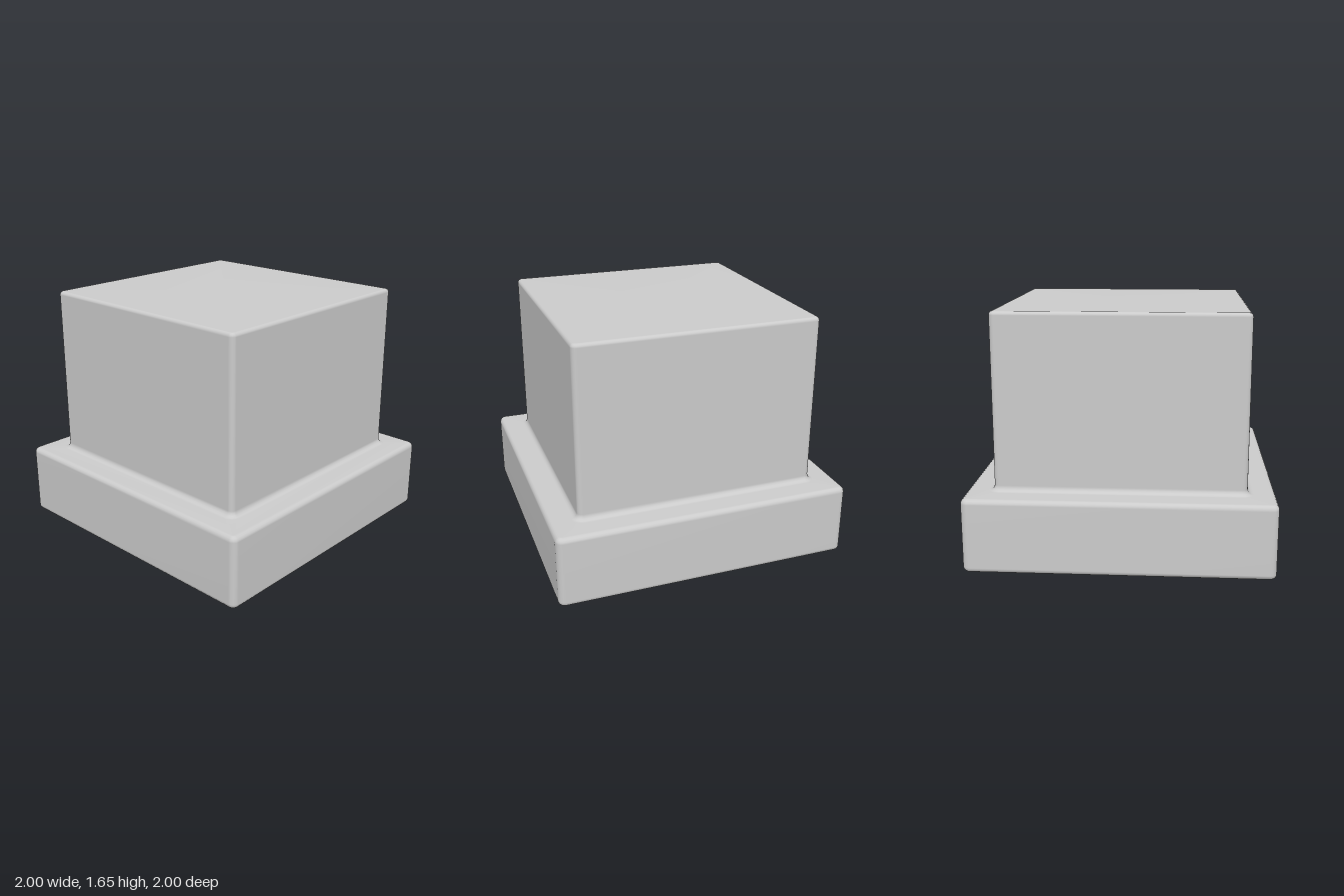
import * as THREE from 'three';

const CORNER_STEPS = 4;

// Horizontal rounded-square ring with half-width h and corner radius r
function ring(h, r, y) {
  const pts = [];
  for (let c = 0; c < 4; c++) {
    const mid = Math.PI / 4 + c * Math.PI / 2;
    const cx = Math.sign(Math.cos(mid)) * (h - r);
    const cz = Math.sign(Math.sin(mid)) * (h - r);
    for (let i = 0; i <= CORNER_STEPS; i++) {
      const a = c * Math.PI / 2 + (i / CORNER_STEPS) * Math.PI / 2;
      pts.push(cx + r * Math.cos(a), y, cz + r * Math.sin(a));
    }
  }
  return pts;
}

// Quarter-round run of profile points [half-width, corner radius, y]
function arc(cx, cy, r, from, to, cornerRadius) {
  return Array.from({ length: 5 }, (_, i) => {
    const a = THREE.MathUtils.degToRad(from + (to - from) * i / 4);
    const h = cx + r * Math.cos(a);
    return [h, cornerRadius(h), cy + r * Math.sin(a)];
  });
}

// Skin the rings from bottom to top
function loft(profile) {
  const n = 4 * (CORNER_STEPS + 1);
  const index = [];
  for (let j = 0; j < profile.length - 1; j++) {
    for (let i = 0; i < n; i++) {
      const a = j * n + i, b = j * n + (i + 1) % n;
      index.push(a, a + n, b, b, a + n, b + n);
    }
  }
  const geo = new THREE.BufferGeometry();
  const pos = profile.flatMap(p => ring(...p));
  geo.setAttribute('position', new THREE.Float32BufferAttribute(pos, 3));
  geo.setIndex(index);
  geo.computeVertexNormals();
  return geo;
}

export function createModel() {
  const group = new THREE.Group();
  group.name = 'steppedBlock';

  const baseCorner = h => h - 0.96 + 0.005;
  const blockCorner = h => h - 0.785 + 0.005;

  const profile = [
    [0, 0, 0],
    ...arc(0.965, 0.03, 0.035, -90, 0, baseCorner).map(([h, r, y]) => [h, r, Math.max(0, y + 0.005)]),
    // Rounded upper rim of the plinth
    ...arc(0.965, 0.458, 0.035, 0, 90, baseCorner),
    // Concave fillet where the block meets the plinth
    ...arc(0.853, 0.533, 0.038, 270, 180, blockCorner),
    // Rounded upper rim of the block
    ...arc(0.79, 1.63, 0.025, 0, 90, blockCorner),
    [0, 0, 1.655],
  ];

  const body = new THREE.Mesh(
    loft(profile),
    new THREE.MeshStandardMaterial({ color: 0xcccccc })
  );
  body.name = 'plinthAndBlock';
  group.add(body);
  return group;
}
